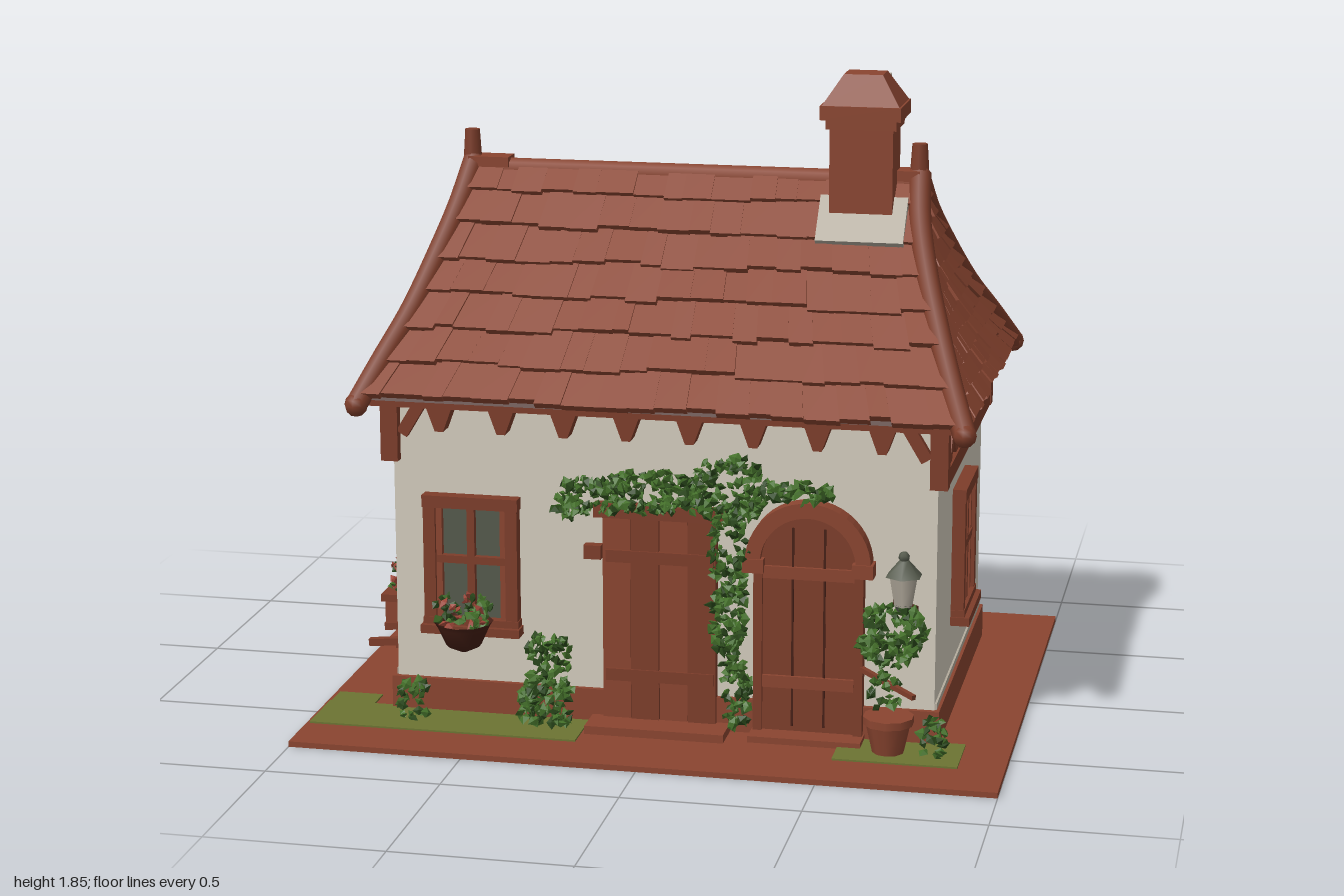
import * as THREE from 'three';
import { mergeGeometries } from 'three/addons/utils/BufferGeometryUtils.js';

const V = (x, y, z) => new THREE.Vector3(x, y, z);
const paint = (name, color, side = THREE.FrontSide) => {
  const m = new THREE.MeshStandardMaterial({ color, side });
  m.name = name;
  return m;
};
const tile = paint('clay tile', 0x8a4530), wood = paint('brown wood', 0x7d3d2a);
const dark = paint('dark wood', 0x461f15, THREE.DoubleSide), plaster = paint('plaster', 0xd3ccbd);
const leaf = paint('leaf green', 0x44702a), shade = paint('deep green', 0x2a481b);
const grass = paint('grass', 0x6c7432), glass = paint('window glass', 0x555a4c);
const stone = paint('pale stone', 0xb3ab9d), petal = paint('petal', 0x9c4638);

let seed = 7;
const rnd = () => (seed = (seed * 16807) % 2147483647) / 2147483647;
const jit = (a) => (rnd() * 2 - 1) * a;

function add(parent, name, geo, mat, x = 0, y = 0, z = 0) {
  const m = new THREE.Mesh(geo, mat);
  m.name = name;
  m.position.set(x, y, z);
  parent.add(m);
  return m;
}
const box = (p, name, mat, w, h, d, x, y, z) => add(p, name, new THREE.BoxGeometry(w, h, d), mat, x, y, z);
const group = (p, name, x = 0, y = 0, z = 0) => {
  const g = new THREE.Group();
  g.name = name;
  g.position.set(x, y, z);
  p.add(g);
  return g;
};
// Square timber between two points
function beam(p, name, a, b, t, mat = wood) {
  const m = box(p, name, mat, t, t, a.distanceTo(b), 0, 0, 0);
  m.position.copy(a).lerp(b, 0.5);
  m.lookAt(b);
}
// Cloud of small diamond leaves inside an ellipsoid
function foliage(p, name, x, y, z, rx, ry, rz, n, mats = [leaf, leaf, shade], size = 0.02) {
  const sets = new Map();
  for (let i = 0; i < n; i++) {
    const d = V(jit(1), jit(1), jit(1));
    if (d.length() > 1) d.normalize();
    const g = new THREE.OctahedronGeometry(size * (0.75 + rnd() * 0.5));
    g.scale(1, 0.75, 0.45).rotateX(jit(1.2)).rotateY(jit(1.2)).rotateZ(jit(3));
    g.translate(x + d.x * rx, y + d.y * ry, z + d.z * rz);
    const m = mats[i % mats.length];
    sets.set(m, [...(sets.get(m) || []), g]);
  }
  for (const [m, list] of sets) add(p, name, mergeGeometries(list), m);
}

// Hip line of the roof: t = 0 at the eave, 1 at the ridge
const hip = (sx, sz) => (t) => V(
  sx * (0.65 + 0.2 * (1 - t) ** 1.5),
  0.95 + 0.6 * t,
  0.015 + (sz > 0 ? 0.52 : -0.64) * (1 - t) ** 1.06);

// Overlapping shingles on the slope between two hip lines
function shingles(p, name, a, b, rows, width) {
  const list = [];
  for (let r = 0; r < rows; r++) {
    const t0 = r / rows, t1 = Math.min(1, (r + 1.25) / rows);
    const A0 = a(t0), B0 = b(t0), A1 = a(t1), B1 = b(t1);
    const n = Math.max(1, Math.round(A0.distanceTo(B0) / width));
    const normal = B0.clone().sub(A0).cross(A1.clone().add(B1).sub(A0).sub(B0)).normalize();
    const cuts = Array.from({ length: n + 1 }, (_, i) => (i + (i && i < n ? jit(0.25) : 0)) / n);
    for (let i = 0; i < n; i++) {
      const g = new THREE.BoxGeometry(1, 1, 1), q = g.attributes.position;
      const drop = jit(0.08), lift = jit(0.004);
      for (let k = 0; k < q.count; k++) {
        const f = THREE.MathUtils.lerp(cuts[i], cuts[i + 1], q.getX(k) + 0.5);
        const low = q.getY(k) < 0, out = q.getZ(k) > 0;
        const v = A0.clone().lerp(B0, f).lerp(A1.clone().lerp(B1, f), low ? drop : 1);
        v.addScaledVector(normal, lift + (low ? (out ? 0.034 : 0.008) : (out ? 0.012 : -0.006)));
        q.setXYZ(k, v.x, v.y, v.z);
      }
      g.computeVertexNormals();
      list.push(g);
    }
  }
  add(p, name, mergeGeometries(list), tile);
}

// Four-pane window facing +z
function windowUnit(p, name, x, y, z, turn) {
  const g = group(p, name, x, y, z);
  g.rotation.y = turn;
  box(g, 'glassPane', glass, 0.22, 0.34, 0.008, 0, 0, 0.006);
  for (const s of [-1, 1]) {
    box(g, 'frameSide', wood, 0.035, 0.39, 0.045, s * 0.12, 0, 0.015);
    box(g, 'frameRail', wood, 0.28, 0.035, 0.05, 0, s * 0.18, 0.015);
    box(g, 'sashSide', tile, 0.02, 0.33, 0.03, s * 0.095, 0, 0.012);
  }
  box(g, 'mullion', wood, 0.022, 0.34, 0.032, 0, 0, 0.014);
  box(g, 'transom', wood, 0.2, 0.022, 0.032, 0, 0.01, 0.014);
  box(g, 'sill', wood, 0.29, 0.025, 0.07, 0, -0.195, 0.02);
}

export function createModel() {
  const root = new THREE.Group();
  root.name = 'cottage';

  // Ground and grass
  box(root, 'ground', tile, 2, 0.016, 1.6, 0, 0.008, 0);
  box(root, 'grassLeft', grass, 0.78, 0.006, 0.19, -0.6, 0.018, 0.545);
  box(root, 'grassCorner', grass, 0.13, 0.006, 0.1, -0.92, 0.018, 0.42);
  box(root, 'grassRight', grass, 0.35, 0.006, 0.19, 0.695, 0.018, 0.545);

  // Walls and plinth
  box(root, 'walls', plaster, 1.56, 0.93, 1, 0, 0.48, -0.05);
  box(root, 'plinth', tile, 1.59, 0.105, 1.03, 0, 0.062, -0.05);
  box(root, 'plinthCap', stone, 1.572, 0.02, 1, 0, 0.122, -0.055);

  // Roof core, soffit, shingles, hip logs and ridge
  const [fl, fr, br, bl] = [hip(-1, 1), hip(1, 1), hip(1, -1), hip(-1, -1)];
  const core = [];
  for (let i = 0; i < 6; i++) [[fl, fr], [fr, br], [br, bl], [bl, fl]].forEach(([a, b]) => {
    const t = i / 6, u = (i + 1) / 6;
    for (const v of [a(t), b(t), b(u), a(t), b(u), a(u)]) core.push(v.x, v.y, v.z);
  });
  const coreGeo = new THREE.BufferGeometry();
  coreGeo.setAttribute('position', new THREE.Float32BufferAttribute(core, 3));
  coreGeo.computeVertexNormals();
  add(root, 'roofCore', coreGeo, dark);
  box(root, 'soffit', wood, 1.68, 0.025, 1.13, 0, 0.942, -0.045);
  shingles(root, 'frontShingles', fl, fr, 7, 0.085);
  shingles(root, 'backShingles', br, bl, 7, 0.085);
  shingles(root, 'rightShingles', fr, br, 10, 0.07);
  shingles(root, 'leftShingles', bl, fl, 10, 0.07);
  for (const h of [fl, fr, br, bl]) {
    const pts = [-0.035, 0.15, 0.35, 0.6, 0.8, 1].map((t) => h(t).add(V(jit(0.006), 0.01, jit(0.006))));
    add(root, 'hipLog', new THREE.TubeGeometry(new THREE.CatmullRomCurve3(pts), 20, 0.033, 8), wood);
    const end = add(root, 'hipLogEnd', new THREE.SphereGeometry(0.034, 8, 6), wood);
    end.position.copy(pts[0]);
  }
  add(root, 'ridgeLog', new THREE.CylinderGeometry(0.034, 0.034, 1.3, 8).rotateZ(Math.PI / 2), tile, 0, 1.53, 0.015);
  for (const s of [-1, 1]) {
    add(root, 'ridgePost', new THREE.CylinderGeometry(0.022, 0.03, 0.12, 8), wood, s * 0.655, 1.585, 0.015);
    box(root, 'ridgeEndTile', tile, 0.12, 0.03, 0.07, s * 0.6, 1.555, 0.015);
  }

  // Rafter tails under front and back eaves
  const tail = new THREE.Shape([[-0.045, 0], [-0.012, -0.09], [0.012, -0.09], [0.045, 0]].map((q) => new THREE.Vector2(...q)));
  const tailGeo = new THREE.ExtrudeGeometry(tail, { depth: 0.06, bevelEnabled: false });
  for (let i = 0; i < 8; i++) for (const z of [0.445, -0.61])
    add(root, 'rafterTail', tailGeo, wood, -0.63 + i * 0.18, 0.95, z);

  // Half-timbered band on both ends
  for (const s of [-1, 1]) {
    const x = s * 0.785;
    box(root, 'lowerBeam', wood, 0.045, 0.05, 1.04, x, 0.785, -0.05);
    box(root, 'upperBeam', wood, 0.045, 0.04, 1.04, x, 0.935, -0.05);
    for (const z of [0.45, 0.09, -0.15, -0.55]) box(root, 'bandPost', wood, 0.045, 0.17, 0.04, x, 0.86, z);
    for (const [z0, z1] of [[0.38, 0.24], [0.2, 0.33], [0.04, -0.1], [-0.36, -0.22], [-0.32, -0.47]])
      beam(root, 'bandBrace', V(x, 0.79, z0), V(x, 0.93, z1), 0.034);
    for (const z of [0.455, -0.555]) {
      box(root, 'cornerPost', wood, 0.05, 0.19, 0.05, x, 0.855, z);
      beam(root, 'cornerBracket', V(s * 0.75, 0.84, z), V(s * 0.69, 0.94, z), 0.035);
    }
  }

  // Chimney with flashing and hooded cap
  const square = (top, bottom, h) => new THREE.CylinderGeometry(top * Math.SQRT1_2, bottom * Math.SQRT1_2, h, 4, 1)
    .rotateY(Math.PI / 4).toNonIndexed();
  const chimney = group(root, 'chimney', 0.505, 0, 0.062);
  box(chimney, 'shaft', tile, 0.18, 0.42, 0.145, 0, 1.52, 0);
  box(chimney, 'cap', tile, 0.23, 0.04, 0.195, 0, 1.745, 0);
  box(chimney, 'capNeck', tile, 0.2, 0.03, 0.165, 0, 1.712, 0);
  const hood = square(0.11, 0.22, 0.085);
  hood.computeVertexNormals();
  add(chimney, 'hood', hood, tile, 0, 1.807, 0).scale.z = 0.85;
  const patch = box(chimney, 'hoodBackPatch', stone, 0.13, 0.08, 0.006, 0, 1.806, -0.073);
  patch.rotation.x = 0.51;
  const flash = box(chimney, 'flashing', stone, 0.25, 0.035, 0.15, 0.005, 1.435, 0.07);
  flash.rotation.x = 0.86;

  // Windows
  windowUnit(root, 'frontWindow', -0.55, 0.47, 0.45, 0);
  windowUnit(root, 'backWindow', -0.55, 0.47, -0.55, Math.PI);
  windowUnit(root, 'rightWindow', 0.78, 0.47, -0.015, Math.PI / 2);
  windowUnit(root, 'leftWindow', -0.78, 0.47, -0.015, -Math.PI / 2);

  // Large plank door
  const door = group(root, 'plankDoor', 0, 0, 0.46);
  for (let i = 0; i < 4; i++)
    box(door, 'plank', i % 2 ? wood : tile, 0.08, 0.6 + jit(0.01), 0.035 + i % 2 * 0.008, -0.125 + i * 0.082, 0.335, 0);
  for (const y of [0.17, 0.52]) box(door, 'crossBoard', wood, 0.31, 0.035, 0.05, 0, y, 0.002);
  box(door, 'lintel', wood, 0.38, 0.04, 0.05, 0, 0.65, 0);
  box(door, 'hingeBlock', wood, 0.05, 0.04, 0.04, -0.195, 0.525, 0);
  box(door, 'step', tile, 0.4, 0.03, 0.12, 0, 0.025, 0.05);

  // Arched door with surround
  const arch = group(root, 'archedDoor', 0.425, 0, 0.445);
  const leafShape = new THREE.Shape();
  leafShape.moveTo(-0.135, 0.03).lineTo(0.135, 0.03).lineTo(0.135, 0.53);
  leafShape.absarc(0, 0.53, 0.135, 0, Math.PI);
  add(arch, 'doorLeaf', new THREE.ExtrudeGeometry(leafShape, { depth: 0.03, bevelEnabled: false }), wood);
  const ring = new THREE.Shape();
  ring.absarc(0, 0.53, 0.178, 0, Math.PI).lineTo(-0.135, 0.53);
  ring.absarc(0, 0.53, 0.135, Math.PI, 0, true);
  add(arch, 'archSurround', new THREE.ExtrudeGeometry(ring, { depth: 0.055, bevelEnabled: false }), tile);
  for (const s of [-1, 1]) {
    box(arch, 'archFoot', tile, 0.06, 0.04, 0.06, s * 0.155, 0.52, 0.03);
    box(arch, 'jamb', wood, 0.025, 0.5, 0.045, s * 0.143, 0.27, 0.02);
    box(arch, 'plankGap', dark, 0.006, 0.58, 0.006, s * 0.045, 0.34, 0.031);
  }
  for (const y of [0.18, 0.5]) box(arch, 'doorBand', tile, 0.26, 0.035, 0.02, 0, y, 0.03);
  box(arch, 'step', tile, 0.32, 0.025, 0.1, 0, 0.022, 0.05);

  // Ivy over the doors
  const ivy = group(root, 'ivy');
  for (const [x, y, rx, ry, n] of [[-0.2, 0.69, 0.1, 0.055, 70], [0, 0.71, 0.16, 0.065, 150], [0.2, 0.73, 0.11, 0.1, 120],
    [0.38, 0.735, 0.11, 0.03, 45], [0.2, 0.46, 0.055, 0.26, 170], [0.22, 0.14, 0.04, 0.12, 60], [-0.26, 0.64, 0.05, 0.02, 15]])
    foliage(ivy, 'ivyLeaves', x, y, 0.485, rx, ry, 0.025, n);

  // Hanging flower bowl below the front window
  const bowl = group(root, 'flowerBowl', -0.56, 0, 0.53);
  const bowlPts = [[0.01, 0.225], [0.05, 0.245], [0.075, 0.3], [0.085, 0.315]].map((q) => new THREE.Vector2(...q));
  add(bowl, 'bowl', new THREE.LatheGeometry(bowlPts, 10), dark);
  foliage(bowl, 'bowlPlants', 0, 0.345, 0, 0.085, 0.05, 0.06, 55, [leaf, shade, petal, leaf], 0.018);

  // Shrubs along the wall
  foliage(root, 'shrub', -0.31, 0.1, 0.56, 0.09, 0.07, 0.07, 90);
  foliage(root, 'shrubTop', -0.31, 0.22, 0.54, 0.065, 0.08, 0.05, 70);
  foliage(root, 'leftTuft', -0.71, 0.07, 0.54, 0.045, 0.06, 0.04, 28);
  foliage(root, 'rightTuft', 0.79, 0.07, 0.56, 0.035, 0.06, 0.035, 24);

  // Potted tree
  const tree = group(root, 'pottedTree', 0.665, 0, 0.55);
  add(tree, 'pot', new THREE.CylinderGeometry(0.065, 0.045, 0.09, 10), tile, 0, 0.065, 0);
  add(tree, 'potRim', new THREE.CylinderGeometry(0.072, 0.072, 0.022, 10), tile, 0, 0.115, 0);
  beam(tree, 'trunk', V(0, 0.11, 0), V(-0.01, 0.33, 0), 0.014);
  foliage(tree, 'crown', 0.01, 0.36, 0, 0.095, 0.09, 0.07, 120);
  foliage(tree, 'lowerLeaves', -0.01, 0.19, 0, 0.05, 0.06, 0.05, 22);

  // Wall lantern
  const lamp = group(root, 'lantern', 0.7, 0, 0.535);
  add(lamp, 'lampBody', new THREE.CylinderGeometry(0.042, 0.027, 0.085, 6), stone, 0, 0.485, 0);
  add(lamp, 'lampRoof', new THREE.CylinderGeometry(0.014, 0.054, 0.045, 6), glass, 0, 0.55, 0);
  add(lamp, 'lampFinial', new THREE.SphereGeometry(0.016, 6, 5), glass, 0, 0.582, 0);
  add(lamp, 'lampBase', new THREE.CylinderGeometry(0.028, 0.018, 0.02, 6), glass, 0, 0.437, 0);
  beam(lamp, 'lampArm', V(0, 0.43, 0), V(0, 0.43, -0.09), 0.014, dark);

  // Planter on legs beside the left wall
  const planter = group(root, 'planter', -0.86, 0, 0.01);
  box(planter, 'planterBox', tile, 0.125, 0.08, 0.2, 0, 0.195, 0);
  box(planter, 'planterRim', wood, 0.145, 0.022, 0.22, 0, 0.235, 0);
  for (const x of [-0.042, 0.042]) for (const z of [-0.075, 0.075])
    beam(planter, 'planterLeg', V(x, 0.015, z * 1.15), V(x, 0.17, z), 0.022);
  foliage(planter, 'planterPlants', 0, 0.285, 0, 0.07, 0.055, 0.1, 70, [leaf, petal, shade, petal], 0.018);

  return root;
}
